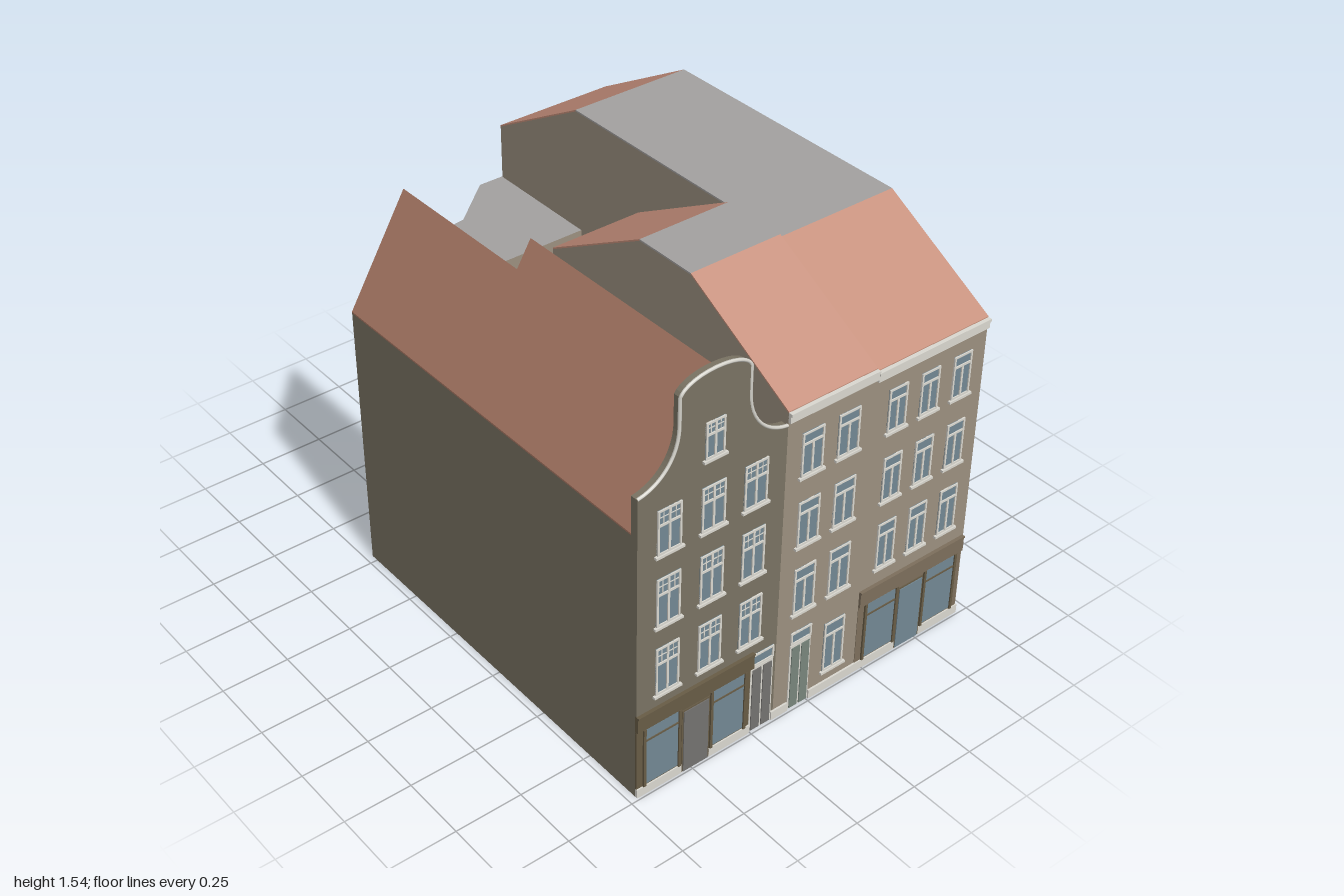
import * as THREE from 'three';
import { mergeGeometries } from 'three/addons/utils/BufferGeometryUtils.js';

const mat = (color) => new THREE.MeshStandardMaterial({ color });
const M = {
  darkBrick: mat(0x7a7363), brick: mat(0x9c9080), tile: mat(0xc48e7a), tileDark: mat(0xa87864),
  flat: mat(0xa3a1a0), white: mat(0xdad8d0), glass: mat(0x728894), shop: mat(0x685c46),
  shopLight: mat(0x7d6f5c), doorGrey: mat(0x747270), doorGreen: mat(0x78857c),
};

function add(parent, name, geometry, material) {
  const mesh = new THREE.Mesh(geometry, material);
  mesh.name = name;
  parent.add(mesh);
  return mesh;
}
function group(parent, name) {
  const g = new THREE.Group();
  g.name = name;
  parent.add(g);
  return g;
}
const shapeOf = (pts) => new THREE.Shape(pts.map(([a, b]) => new THREE.Vector2(a, b)));
const extrude = (shape, depth) =>
  new THREE.ExtrudeGeometry(shape, { depth, bevelEnabled: false, curveSegments: 16 });

// Box given by its limits
const block = (x0, x1, y0, y1, z0, z1) =>
  new THREE.BoxGeometry(x1 - x0, y1 - y0, Math.abs(z1 - z0))
    .translate((x0 + x1) / 2, (y0 + y1) / 2, (z0 + z1) / 2);
// Outline in x, y swept along z
const alongZ = (pts, z0, z1) => extrude(shapeOf(pts), z1 - z0).translate(0, 0, z0);
// Outline in z, y swept along x
const alongX = (pts, x0, x1) =>
  extrude(shapeOf(pts.map(([z, y]) => [-z, y])), x1 - x0).rotateY(Math.PI / 2).translate(x0, 0, 0);
// Plan in x, z raised along y
const alongY = (pts, y0, y1) =>
  extrude(shapeOf(pts.map(([x, z]) => [x, -z])), y1 - y0).rotateX(-Math.PI / 2).translate(0, y0, 0);
// Thin strip lying on the line p to q
const strip = (p, q, t = 0.006) => [p, q, [q[0], q[1] + t], [p[0], p[1] + t]];

// Framed window on a wall at z; dir is the way the wall faces
function addWindow(parent, x, w, y0, y1, style, z = 0.985, dir = 1) {
  const g = group(parent, 'window');
  const f = 0.007, h = y1 - y0, x0 = x - w / 2, x1 = x + w / 2;
  const bar = (a, b, c, d, out = 0.006) => block(a, b, c, d, z - dir * 0.002, z + dir * out);
  add(g, 'glass', bar(x0, x1, y0, y1, 0.002), M.glass);
  const bars = [
    bar(x0, x0 + f, y0, y1), bar(x1 - f, x1, y0, y1),
    bar(x0, x1, y0, y0 + f), bar(x0, x1, y1 - f, y1),
  ];
  if (style !== 'plain') {
    const t = y1 - h * (style === 'grid' ? 0.34 : 0.26);
    bars.push(bar(x0, x1, t - 0.004, t + 0.004));
    bars.push(bar(x - 0.004, x + 0.004, y0, style === 'grid' ? y1 : t));
    bars.push(bar(x0 - 0.009, x1 + 0.009, y0 - 0.009, y0, 0.011));
    if (style === 'grid') {
      const m = (t + y1) / 2;
      bars.push(bar(x0, x1, m - 0.0015, m + 0.0015, 0.004));
      for (const s of [-1, 1])
        bars.push(bar(x + s * w / 4 - 0.0015, x + s * w / 4 + 0.0015, t, y1, 0.004));
    }
  }
  add(g, 'windowFrame', mergeGeometries(bars), M.white);
}

// House door with a fanlight and two leaves
function addDoor(parent, x, w, material) {
  const g = group(parent, 'houseDoor');
  add(g, 'doorFrame', block(x - w / 2, x + w / 2, 0.004, 0.278, 0.98, 0.988), M.white);
  for (const s of [-1, 1]) {
    const c = x + s * w * 0.235;
    add(g, 'doorLeaf', block(c - w * 0.19, c + w * 0.19, 0.006, 0.268, 0.98, 0.991), material);
  }
  addWindow(g, x, w, 0.284, 0.333, 'plain');
}

// Shopfront: panel, fascia, two display windows and a central door
function addShop(parent, x0, x1, panes, door, wood, doorMaterial) {
  const g = group(parent, 'shopfront');
  add(g, 'shopPanel', block(x0, x1, 0.035, 0.285, 0.98, 0.987), wood);
  add(g, 'fascia', block(x0, x1, 0.282, 0.342, 0.98, 0.994), wood);
  add(g, 'fasciaCap', block(x0, x1, 0.34, 0.347, 0.98, 0.998), wood);
  for (const [a, b] of panes) {
    add(g, 'displayGlass', block(a, b, 0.04, 0.275, 0.98, 0.989), M.glass);
    for (const e of [a, b])
      add(g, 'post', block(e - 0.005, e + 0.005, 0.035, 0.28, 0.98, 0.994), M.shop);
    add(g, 'transom', block(a, b, 0.226, 0.232, 0.98, 0.992), M.shop);
  }
  add(g, 'shopDoorFrame', block(door[0] - 0.006, door[1] + 0.006, 0, 0.266, 0.98, 0.99), M.shop);
  add(g, 'shopDoor', block(door[0], door[1], 0.002, 0.26, 0.98, 0.993), doorMaterial);
}

const plinth = (parent, spans) => spans.forEach(([a, b]) =>
  add(parent, 'plinth', block(a, b, 0, 0.035, 0.98, 0.992), M.white));

const backRows = [[0.08, 0.29], [0.42, 0.59], [0.71, 0.88], [0.98, 1.13]];

function gableHouse(root) {
  const g = group(root, 'gableHouse');
  const L = -0.722, R = -0.145, mid = -0.435, wing = -0.49, eave = 1.05, top = 1.53;
  const wingTop = eave + (top - eave) * (wing - L) / (mid - L);
  add(g, 'mainBody', alongZ([[L, 0], [R, 0], [R, eave], [mid, top], [L, eave]], 0.1, 0.957), M.darkBrick);
  add(g, 'rearWing', alongZ([[L, 0], [wing, 0], [wing, wingTop], [L, eave]], -0.53, 0.1), M.darkBrick);
  add(g, 'leftRoof', alongZ(strip([L, eave], [mid, top]), 0.1, 0.957), M.tileDark);
  add(g, 'rightRoof', alongZ(strip([mid, top], [R, eave]), 0.1, 0.957), M.tileDark);
  add(g, 'wingRoof', alongZ(strip([L, eave], [wing, wingTop]), -0.53, 0.1), M.tileDark);

  // Bell-shaped front gable
  const s = new THREE.Shape();
  s.moveTo(L, 0).lineTo(R, 0).lineTo(R, 1.195);
  s.bezierCurveTo(-0.23, 1.205, -0.3, 1.28, -0.3, 1.385);
  s.lineTo(-0.3, 1.485);
  s.bezierCurveTo(-0.33, 1.55, -0.535, 1.55, -0.568, 1.485);
  s.lineTo(-0.568, 1.385);
  s.bezierCurveTo(-0.568, 1.28, -0.635, 1.205, L, 1.195);
  add(g, 'frontGable', extrude(s, 0.03).translate(0, 0, 0.955), M.darkBrick);
  const rim = s.getPoints(12).filter((p) => p.y > 1).map((p) => new THREE.Vector3(p.x, p.y, 0.982));
  const path = new THREE.CurvePath();
  for (let i = 1; i < rim.length; i++)
    if (rim[i].distanceTo(rim[i - 1]) > 1e-5) path.add(new THREE.LineCurve3(rim[i - 1], rim[i]));
  add(g, 'coping', new THREE.TubeGeometry(path, 90, 0.006, 6), M.white);

  for (const x of [-0.603, -0.434, -0.267])
    for (const [a, b] of [[0.397, 0.585], [0.675, 0.86], [0.953, 1.12]]) addWindow(g, x, 0.092, a, b, 'grid');
  addWindow(g, mid, 0.074, 1.222, 1.355, 'grid');
  addShop(g, L, -0.245, [[-0.692, -0.55], [-0.418, -0.277]], [-0.534, -0.432], M.shop, M.doorGrey);
  addDoor(g, -0.206, 0.096, M.doorGrey);
  plinth(g, [[L, -0.54], [-0.426, -0.254], [-0.158, R]]);
  for (const [a, b] of backRows) {
    addWindow(g, -0.605, 0.11, a, b, 'plain', -0.53, -1);
    addWindow(g, -0.37, 0.11, a, Math.min(b, 1.1), 'plain', 0.1, -1);
  }
}

// House with front and rear roof slopes and a flat top
function mansardHouse(root, name, x0, x1, back, eave, ridge, flat0, flat1) {
  const g = group(root, name);
  const f = 0.985;
  add(g, 'body', alongX([[f, 0], [f, eave], [flat0, ridge], [flat1, ridge], [back, eave], [back, 0]], x0, x1), M.brick);
  add(g, 'frontRoof', alongX(strip([f, eave], [flat0, ridge]), x0, x1), M.tile);
  add(g, 'flatRoof', alongX(strip([flat0, ridge], [flat1, ridge]), x0, x1), M.flat);
  add(g, 'rearRoof', alongX(strip([flat1, ridge], [back, eave]), x0, x1), M.tile);
  add(g, 'cornice', block(x0, x1, eave - 0.034, eave, 0.97, 0.995), M.white);
  add(g, 'corniceLip', block(x0, x1, eave - 0.008, eave + 0.003, 0.97, 1), M.white);
  return g;
}

const upperRows = [[0.415, 0.6], [0.695, 0.87], [0.972, 1.137]];

function middleHouse(root) {
  const L = -0.145, R = 0.22;
  const g = mansardHouse(root, 'middleHouse', L, R, -0.19, 1.24, 1.495, 0.52, 0.27);
  for (const x of [-0.039, 0.112])
    for (const [a, b] of upperRows) addWindow(g, x, 0.09, a, b, 'cross');
  addWindow(g, 0.112, 0.09, 0.085, 0.29, 'cross');
  addDoor(g, -0.039, 0.09, M.doorGreen);
  plinth(g, [[L, -0.086], [0.008, R]]);
  // Rear extension stepping round a light shaft
  const skin = [M.flat, M.brick];
  add(g, 'linkBlock', alongY([[L, -0.19], [R, -0.19], [R, -0.425], [0.09, -0.425], [0.09, -0.515], [L, -0.515]], 0, 0.9), skin);
  add(g, 'rearBlock', alongY([[L, -0.515], [R, -0.515], [R, -1], [L, -1]], 0, 0.84), skin);
  add(g, 'rearUpperBlock', alongY([[L, -0.515], [R, -0.515], [R, -1], [0.12, -1], [-0.07, -0.835], [L, -0.825]], 0.84, 1.02), skin);
  for (const [a, b] of backRows.slice(0, 2)) addWindow(g, -0.01, 0.12, a, b, 'plain', -0.997, -1);
}

function cornerHouse(root) {
  const L = 0.22, R = 0.706;
  const g = mansardHouse(root, 'cornerHouse', L, R, -0.997, 1.23, 1.485, 0.52, -0.54);
  for (const x of [0.32, 0.461, 0.604])
    for (const [a, b] of upperRows) addWindow(g, x, 0.08, a, b, 'cross');
  addShop(g, L, 0.702, [[0.252, 0.395], [0.527, 0.672]], [0.408, 0.513], M.shopLight, M.glass);
  plinth(g, [[L, 0.402], [0.519, R]]);
  for (const x of [0.31, 0.62])
    for (const [a, b] of backRows) addWindow(g, x, 0.12, a, b, 'plain', -0.997, -1);
}

export function createModel() {
  const root = new THREE.Group();
  root.name = 'townHouses';
  gableHouse(root);
  const pair = group(root, 'skewedPair');
  middleHouse(pair);
  cornerHouse(pair);
  // The plots drift slightly sideways towards the rear
  pair.traverse((o) => {
    if (!o.isMesh) return;
    const p = o.geometry.attributes.position;
    for (let i = 0; i < p.count; i++) p.setX(i, p.getX(i) + 0.0065 * (0.985 - p.getZ(i)));
  });
  return root;
}
